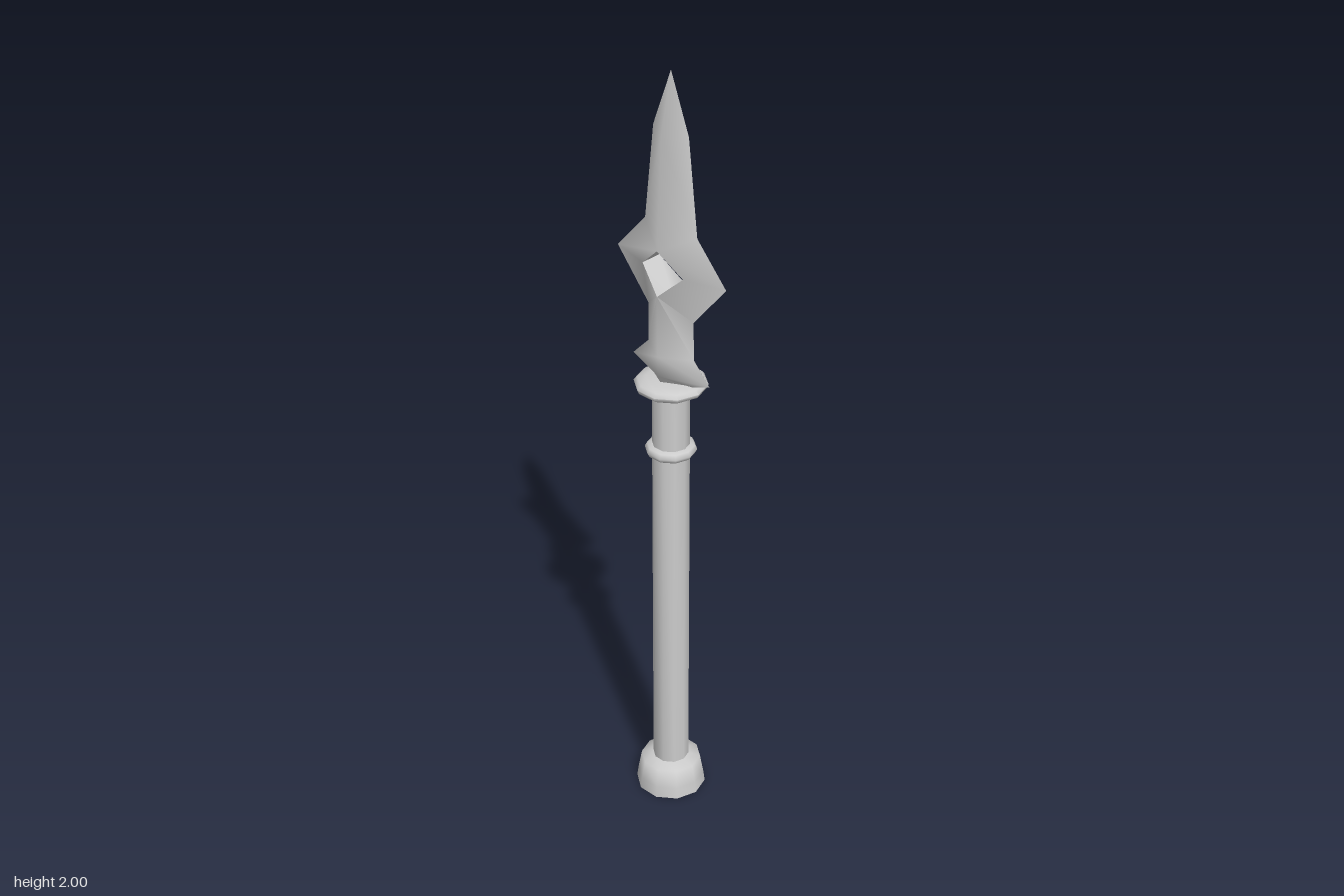
import * as THREE from 'three';
import { toCreasedNormals } from 'three/addons/utils/BufferGeometryUtils.js';

const metal = new THREE.MeshStandardMaterial({ color: 0xcccccc });
metal.name = 'plainGrey';

// Ten-sided turned part from [radius, y] pairs, listed bottom to top
function turned(name, profile) {
  const pts = profile.map(([r, y]) => new THREE.Vector2(r, y));
  const geo = toCreasedNormals(new THREE.LatheGeometry(pts, 10, Math.PI / 2), 1.2);
  const mesh = new THREE.Mesh(geo, metal);
  mesh.name = name;
  return mesh;
}

// Spearhead: one quarter of the blade, mirrored across x and z
function spearhead() {
  // sharp outer edge [x, y], tip to base
  const edge = [[0, 2], [0.055, 1.855], [0.082, 1.615], [0.172, 1.515],
    [0.072, 1.395], [0.074, 1.295], [0.124, 1.243], [0.065, 1.22]];
  // raised middle ridge [x, y, z], which parts around the diamond hole
  const ridge = [[0, 2, 0], [0, 1.855, 0.031], [0, 1.572, 0.047], [0.064, 1.515, 0.028],
    [0, 1.455, 0.047], [0, 1.295, 0.046], [0, 1.243, 0.044], [0, 1.22, 0.035]];
  const last = edge.length - 1;
  const pos = [];

  for (const sx of [1, -1]) {
    for (const sz of [1, -1]) {
      const tri = (a, b, c) => {
        const order = sx * sz > 0 ? [a, b, c] : [a, c, b];
        for (const p of order) pos.push(p[0] * sx, p[1], p[2] * sz);
      };
      const E = (i) => [edge[i][0], edge[i][1], 0];
      const R = (i) => ridge[i];
      // blade faces
      for (let i = 0; i < last; i++) {
        tri(R(i), R(i + 1), E(i + 1));
        if (i > 0) tri(R(i), E(i + 1), E(i));
      }
      // walls of the hole, from the face to the middle plane
      for (const i of [2, 3]) {
        const a = R(i), b = R(i + 1);
        const a0 = [a[0], a[1], 0], b0 = [b[0], b[1], 0];
        tri(a, a0, b0);
        tri(a, b0, b);
      }
      // underside
      tri([0, edge[last][1], 0], E(last), R(last));
    }
  }

  const geo = new THREE.BufferGeometry();
  geo.setAttribute('position', new THREE.Float32BufferAttribute(pos, 3));
  const mesh = new THREE.Mesh(toCreasedNormals(geo, 1.2), metal);
  mesh.name = 'spearhead';
  return mesh;
}

export function createModel() {
  const group = new THREE.Group();
  group.name = 'spear';
  group.add(
    turned('pommel', [[0, 0], [0.09, 0], [0.086, 0.03], [0.077, 0.08], [0.045, 0.088]]),
    turned('shaft', [[0.046, 0.07], [0.046, 1.2]]),
    turned('lowerCollar', [[0.045, 1.013], [0.058, 1.016], [0.064, 1.027], [0.058, 1.038], [0.045, 1.041]]),
    turned('upperCollar', [[0.045, 1.188], [0.07, 1.19], [0.086, 1.2], [0.09, 1.21],
      [0.081, 1.219], [0.06, 1.224], [0, 1.226]]),
    spearhead(),
  );
  return group;
}
